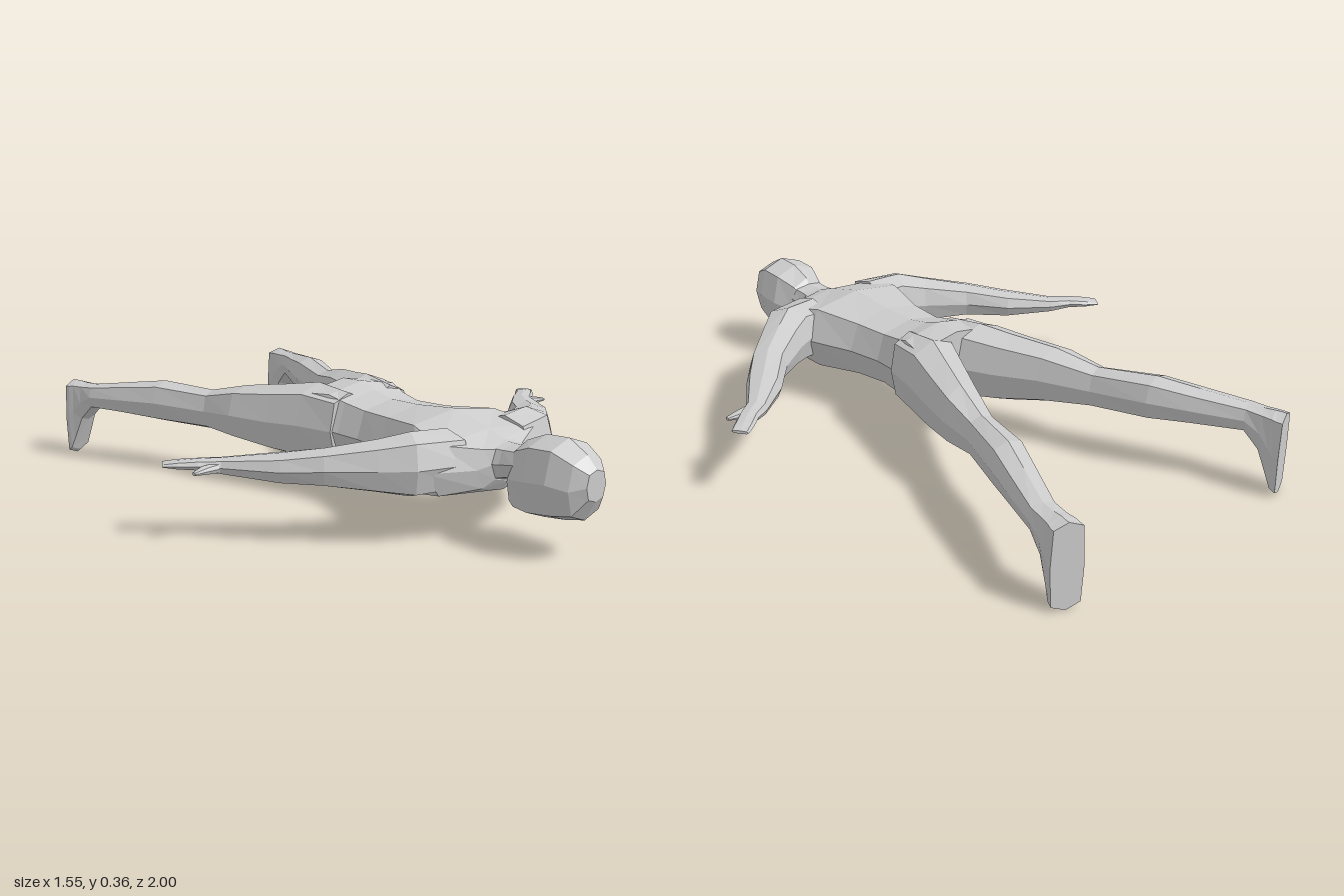
import * as THREE from 'three';

const SIDES = 8;
const material = new THREE.MeshStandardMaterial({ color: 0xcccccc, flatShading: true });

// Skins closed rings. A ring is [x, z of outer edge, x, z of inner edge, bottom y, top y, power];
// a smaller power gives a boxier section.
function loft(name, rings) {
  const pos = [], index = [];
  const soft = (t, p) => Math.sign(t) * Math.pow(Math.abs(t), p);
  for (const [ax, az, bx, bz, y0, y1, p = 0.75] of rings) {
    for (let j = 0; j < SIDES; j++) {
      const t = (j / SIDES) * Math.PI * 2;
      const c = Math.abs(Math.cos(t)) < 1e-6 ? 0 : soft(Math.cos(t), p);
      const s = Math.abs(Math.sin(t)) < 1e-6 ? 0 : soft(Math.sin(t), p);
      pos.push((ax + bx + c * (ax - bx)) / 2, (y0 + y1 + s * (y1 - y0)) / 2, (az + bz + c * (az - bz)) / 2);
    }
  }
  for (let i = 0; i < rings.length - 1; i++) {
    for (let j = 0; j < SIDES; j++) {
      const a = i * SIDES + j, b = i * SIDES + (j + 1) % SIDES;
      index.push(a, a + SIDES, b, b, a + SIDES, b + SIDES);
    }
  }
  // End caps
  const last = (rings.length - 1) * SIDES;
  for (let j = 1; j < SIDES - 1; j++) {
    index.push(0, j, j + 1, last, last + j + 1, last + j);
  }
  const geometry = new THREE.BufferGeometry();
  geometry.setAttribute('position', new THREE.Float32BufferAttribute(pos, 3));
  geometry.setIndex(index);
  geometry.computeVertexNormals();
  const mesh = new THREE.Mesh(geometry, material);
  mesh.name = name;
  return mesh;
}

// Symmetric part along z: [z, half width, bottom y, top y, power]
const central = (name, rows) =>
  loft(name, rows.map(([z, w, y0, y1, p]) => [w, z, -w, z, y0, y1, p]));

const mirror = (rings) =>
  rings.map(([ax, az, bx, bz, ...rest]) => [-bx, bz, -ax, az, ...rest]);

export function createModel() {
  const group = new THREE.Group();
  group.name = 'proneFigure';

  // Head, crown to chin, face down
  group.add(central('head', [
    [1.0, 0.04, 0.18, 0.27],
    [0.965, 0.075, 0.12, 0.305],
    [0.9, 0.098, 0.105, 0.34],
    [0.82, 0.098, 0.095, 0.335],
    [0.75, 0.07, 0.095, 0.305],
    [0.72, 0.05, 0.11, 0.26],
  ]));

  group.add(central('neck', [
    [0.84, 0.07, 0.19, 0.31],
    [0.75, 0.065, 0.195, 0.287],
    [0.7, 0.065, 0.18, 0.285],
    [0.6, 0.09, 0.15, 0.29],
  ]));

  // Shoulders to hips
  group.add(central('torso', [
    [0.68, 0.07, 0.17, 0.285],
    [0.66, 0.11, 0.14, 0.29],
    [0.6, 0.25, 0.125, 0.31, 0.65],
    [0.46, 0.21, 0.09, 0.345, 0.65],
    [0.3, 0.155, 0.105, 0.328, 0.65],
    [0.18, 0.14, 0.11, 0.325, 0.65],
    [0.1, 0.152, 0.105, 0.34, 0.65],
    [0.04, 0.17, 0.1, 0.36, 0.65],
    [-0.05, 0.2, 0.1, 0.355, 0.65],
  ]));

  // Shoulder to fingertips
  const arm = [
    [0.12, 0.645, 0.12, 0.45, 0.14, 0.32],
    [0.28, 0.6, 0.2, 0.45, 0.135, 0.325],
    [0.36, 0.525, 0.27, 0.415, 0.15, 0.305],
    [0.47, 0.42, 0.39, 0.33, 0.17, 0.28],
    [0.55, 0.325, 0.49, 0.22, 0.175, 0.26],
    [0.65, 0.18, 0.61, 0.125, 0.195, 0.242],
    [0.7, 0.14, 0.665, 0.09, 0.208, 0.24],
    [0.745, 0.1, 0.71, 0.05, 0.212, 0.235],
    [0.775, 0.07, 0.745, 0.025, 0.218, 0.228],
  ];
  const thumb = [
    [0.63, 0.18, 0.64, 0.13, 0.2, 0.235],
    [0.685, 0.175, 0.69, 0.14, 0.203, 0.228],
    [0.73, 0.17, 0.73, 0.155, 0.208, 0.218],
  ];

  // Hip to ankle, then the foot with toes hanging down and the sole as end cap
  const leg = [
    [0.165, 0.08, 0.01, 0.08, 0.11, 0.34],
    [0.2, -0.05, 0.0, -0.05, 0.1, 0.355],
    [0.235, -0.16, 0.055, -0.155, 0.11, 0.338],
    [0.28, -0.3, 0.125, -0.285, 0.135, 0.32],
    [0.295, -0.42, 0.2, -0.44, 0.155, 0.288],
    [0.375, -0.6, 0.255, -0.62, 0.16, 0.3],
    [0.425, -0.72, 0.315, -0.735, 0.17, 0.283],
    [0.475, -0.85, 0.395, -0.88, 0.18, 0.263, 0.6],
    [0.485, -0.9, 0.405, -0.93, 0.13, 0.262, 0.5],
    [0.495, -0.935, 0.408, -0.965, 0.05, 0.265, 0.4],
    [0.502, -0.95, 0.41, -0.98, 0.012, 0.265, 0.4],
    [0.505, -0.965, 0.413, -1.0, 0.0, 0.265, 0.4],
  ];

  for (const [part, rings] of Object.entries({ Arm: arm, Thumb: thumb, Leg: leg })) {
    group.add(loft('left' + part, rings), loft('right' + part, mirror(rings)));
  }
  return group;
}
